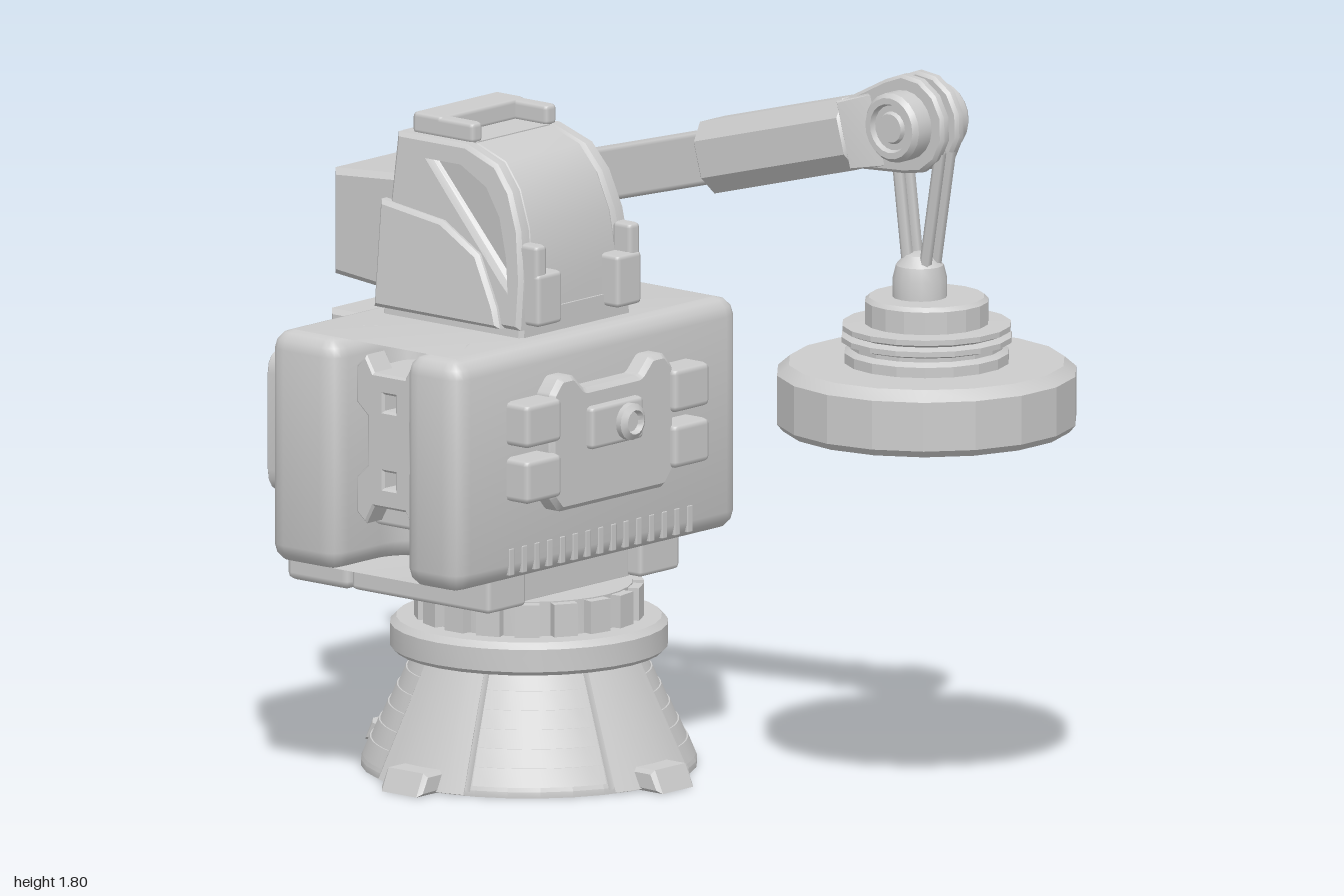
import * as THREE from 'three';
import { toCreasedNormals } from 'three/addons/utils/BufferGeometryUtils.js';
import { RoundedBoxGeometry } from 'three/addons/geometries/RoundedBoxGeometry.js';

const mat = new THREE.MeshStandardMaterial({ color: 0xcccccc, side: THREE.DoubleSide });
const V2 = (p) => p.map(([x, y]) => new THREE.Vector2(x, y));

function add(parent, name, geo, x = 0, y = 0, z = 0) {
  const m = new THREE.Mesh(geo, mat);
  m.name = name;
  m.position.set(x, y, z);
  parent.add(m);
  return m;
}

// box given by its limits, with slightly eased edges
function box(parent, name, x0, x1, y0, y1, z0, z1, r = 0.012) {
  const g = new RoundedBoxGeometry(x1 - x0, y1 - y0, z1 - z0, 1, r);
  return add(parent, name, g, (x0 + x1) / 2, (y0 + y1) / 2, (z0 + z1) / 2);
}

// outline with rounded corners
function roundShape(pts, r) {
  const v = V2(pts), n = v.length, s = new THREE.Shape();
  v.forEach((p, i) => {
    const step = (q) => p.clone().add(q.clone().sub(p).setLength(Math.min(r, q.distanceTo(p) / 2.1)));
    const a = step(v[(i + n - 1) % n]), b = step(v[(i + 1) % n]);
    if (i) s.lineTo(a.x, a.y); else s.moveTo(a.x, a.y);
    s.quadraticCurveTo(p.x, p.y, b.x, b.y);
  });
  s.closePath();
  return s;
}

// extrude along z from z0 to z1 with an inward bevel
function extrude(shape, z0, z1, bevel = 0.01, segs = 1, angle = 0.6) {
  const g = new THREE.ExtrudeGeometry(shape, {
    depth: z1 - z0 - 2 * bevel, bevelEnabled: bevel > 0, bevelThickness: bevel, bevelSize: bevel,
    bevelOffset: -bevel, bevelSegments: segs, curveSegments: 4,
  });
  return toCreasedNormals(g.translate(0, 0, z0 + bevel), angle);
}

// outline in [z, y], extruded along x
const sideways = (pts, x0, x1, bevel, r = 0.01) =>
  extrude(roundShape(pts.map(([z, y]) => [-z, y]), r), x0, x1, bevel).rotateY(Math.PI / 2);

function lathe(pts, segs = 32, a = 0, len = Math.PI * 2) {
  return toCreasedNormals(new THREE.LatheGeometry(V2(pts), segs, a, len), 0.5);
}

function buildBase() {
  const g = new THREE.Group();
  g.name = 'base';
  g.position.x = -0.39;
  add(g, 'hollowSkirt', lathe([[0.34, 0], [0.405, 0], [0.405, 0.015], [0.265, 0.29], [0.22, 0.29], [0.34, 0]]));
  add(g, 'skirtFlange', lathe([[0, 0.285], [0.325, 0.285], [0.335, 0.295], [0.335, 0.35], [0.32, 0.365], [0, 0.365]]));
  add(g, 'bearing', lathe([[0, 0.36], [0.25, 0.36], [0.25, 0.45], [0, 0.45]]));
  for (let i = 0; i < 18; i++) {
    const a = (i / 18) * Math.PI * 2;
    const t = add(g, 'bearingTooth', new THREE.BoxGeometry(0.06, 0.08, 0.05), Math.sin(a) * 0.25, 0.407, Math.cos(a) * 0.25);
    t.rotation.y = a;
  }
  // louvred panels on the diagonals, plain strips and feet on the axes
  const louvre = [];
  for (let i = 0; i < 6; i++) {
    const y = 0.025 + i * 0.043, r = 0.405 - y * 0.5;
    louvre.push([r + 0.008, y], [r - 0.01, y + 0.043]);
  }
  for (let i = 0; i < 4; i++) {
    const a = (i * Math.PI) / 2;
    add(g, 'louvrePanel', lathe(louvre, 8, a + 0.37, 0.83));
    add(g, 'plainStrip', lathe([[0.4, 0], [0.418, 0.005], [0.282, 0.288], [0.26, 0.288]], 6, a - 0.33, 0.66));
    for (const s of [-1, 1]) {
      const c = (y, r) => new THREE.Vector3(Math.sin(a + s * 0.34) * r, y, Math.cos(a + s * 0.34) * r);
      add(g, 'skirtRib', new THREE.TubeGeometry(new THREE.LineCurve3(c(0.01, 0.405), c(0.29, 0.27)), 1, 0.009, 4));
    }
    const foot = V2([[0.37, 0], [0.475, 0], [0.45, 0.055], [0.37, 0.055]]);
    add(g, 'foot', extrude(new THREE.Shape(foot), -0.065, 0.065)).rotation.y = a;
  }
  return g;
}

function buildBody() {
  const g = new THREE.Group();
  g.name = 'body';
  // supports below the housing
  box(g, 'neck', -0.6, -0.24, 0.44, 0.6, -0.2, 0.23);
  box(g, 'supportFront', -0.64, -0.2, 0.45, 0.6, 0.225, 0.365);
  box(g, 'supportBack', -0.64, -0.2, 0.45, 0.6, -0.335, -0.19);
  box(g, 'sideBeam', -0.85, -0.65, 0.445, 0.585, -0.335, 0.365, 0.02);
  box(g, 'beamLink', -0.7, -0.6, 0.47, 0.565, -0.3, 0.33);
  for (const z of [-0.1, 0.0]) box(g, 'beamClip', -0.86, -0.75, 0.46, 0.57, z, z + 0.04);
  // housing with a slot in the front, drawn in plan
  const plan = [[-0.67, 0.4], [-0.67, -0.635], [-0.455, -0.635], [-0.455, -0.42], [-0.41, -0.37],
    [-0.285, -0.37], [-0.24, -0.42], [-0.24, -0.635], [-0.065, -0.635], [-0.065, 0.4]];
  add(g, 'housing', extrude(roundShape(plan, 0.05), 0.56, 1.13, 0.045, 3, 0.7).rotateX(-Math.PI / 2));
  // latch plate in the slot
  const half = [[0.05, 1.05], [0.075, 1.09], [0.105, 1.06], [0.105, 0.97], [0.07, 0.94],
    [0.07, 0.82], [0.105, 0.79], [0.105, 0.7], [0.075, 0.675], [0.05, 0.72]];
  const latch = new THREE.Shape(V2([...half, ...half.map(([x, y]) => [-x, y]).reverse()]));
  for (const y of [0.98, 0.79]) latch.holes.push(new THREE.Path(V2([[-0.018, y - 0.02], [0.018, y - 0.02], [0.018, y + 0.02], [-0.018, y + 0.02]])));
  add(g, 'latchPlate', extrude(latch, 0.485, 0.56, 0.006), -0.348);
  box(g, 'latchBacking', -0.45, -0.246, 0.66, 1.05, 0.36, 0.5);
  // vent teeth along the lower edge
  for (let i = 0; i < 15; i++) {
    const z = -0.225 + i * 0.0465;
    box(g, 'ventTooth', -0.14, -0.063, 0.578, 0.645, z, z + 0.02, 0.003);
  }
  // access hatch with hinges and a lock
  const zc = 0.12;
  const hatch = [[0.225, 0.76], [0.225, 1.01], [0.19, 1.05], [0.14, 1.05], [0.1, 1.01]];
  const hatchPts = [...hatch, ...hatch.map(([z, y]) => [-z, y]).reverse(), [-0.19, 0.72], [0.19, 0.72]];
  add(g, 'hatch', sideways(hatchPts.map(([z, y]) => [z + zc, y]), -0.08, -0.015, 0.012));
  for (const z of [-0.215, 0.325]) for (const y of [0.763, 0.9]) box(g, 'hinge', -0.1, 0.003, y, y + 0.108, z, z + 0.13, 0.015);
  box(g, 'lockPlate', -0.05, 0.005, 0.86, 0.965, 0.03, 0.22);
  add(g, 'lock', lathe([[0.045, -0.03], [0.045, 0.02], [0.03, 0.03], [0.025, 0.015], [0, 0.015]], 16).rotateZ(-Math.PI / 2), 0, 0.912, 0.09);
  // wedge and framed panel on the far side
  const wedge = [[-0.65, 1.06], [-0.925, 1.06], [-0.925, 0.94], [-0.75, 0.74], [-0.65, 0.74]];
  add(g, 'sideWedge', extrude(new THREE.Shape(V2(wedge)), -0.33, 0.12, 0.012));
  box(g, 'wedgeTrim', -0.934, -0.9, 0.97, 1.035, -0.2, 0.09);
  box(g, 'sidePanel', -0.71, -0.64, 0.72, 1.03, 0.14, 0.52);
  const rect = (a, b, c, d, r) => roundShape([[a, b], [c, b], [c, d], [a, d]], r);
  const frame = rect(-0.545, 0.7, -0.13, 1.055, 0.06);
  frame.holes.push(rect(-0.51, 0.735, -0.165, 1.02, 0.04));
  add(g, 'panelFrame', extrude(frame, -0.755, -0.68, 0.008).rotateY(Math.PI / 2));
  for (const y of [0.8, 0.88, 0.96]) box(g, 'panelRung', -0.735, -0.69, y - 0.015, y + 0.015, 0.24, 0.46, 0.005);
  return g;
}

function buildCab() {
  const g = new THREE.Group();
  g.name = 'cab';
  g.position.z = 0.113;
  // every cab part narrows toward the roof
  const taper = (geo) => {
    const p = geo.attributes.position;
    for (let i = 0; i < p.count; i++) p.setZ(i, p.getZ(i) * (1 - 0.42 * (p.getY(i) - 1.15)));
    geo.computeVertexNormals();
    return toCreasedNormals(geo, 0.6);
  };
  const slab = (name, pts, z0, z1, hole) => {
    const s = new THREE.Shape(V2(pts));
    if (hole) s.holes.push(new THREE.Path(V2(hole)));
    add(g, name, taper(extrude(s, z0, z1)));
  };
  const outer = [[-0.34, 1.575], [-0.24, 1.54], [-0.19, 1.48], [-0.155, 1.39], [-0.138, 1.27], [-0.138, 1.15]];
  const hole = [[-0.48, 1.53], [-0.35, 1.535], [-0.26, 1.49], [-0.21, 1.42], [-0.18, 1.32], [-0.172, 1.22], [-0.21, 1.25]];
  const plate = [[-0.59, 1.15], [-0.19, 1.15], [-0.205, 1.2], [-0.27, 1.32], [-0.39, 1.385], [-0.59, 1.41]];
  for (const s of [-1, 1]) {
    const span = (a, b) => (s > 0 ? [a, b] : [-b, -a]);
    slab('cabSideFrame', [[-0.585, 1.15], [-0.56, 1.575], ...outer], ...span(0.165, 0.215), hole);
    slab('lowerSidePlate', plate, ...span(0.19, 0.232));
    const [a, b] = span(0.15, 0.19);
    box(g, 'frontPost', -0.16, -0.1, 1.16, 1.36, a, b);
    const [c, d] = span(0.1, 0.19);
    box(g, 'postFoot', -0.16, -0.095, 1.16, 1.29, c, d);
  }
  const inner = outer.map(([x, y]) => [x - 0.025, y - 0.02]).reverse();
  slab('windscreen', [...outer.map(([x, y]) => [x - 0.008, y]), ...inner], -0.17, 0.17);
  slab('cabBack', [[-0.585, 1.15], [-0.56, 1.57], [-0.47, 1.57], [-0.5, 1.15]], -0.17, 0.17);
  slab('cabRoof', [[-0.56, 1.535], [-0.56, 1.575], [-0.34, 1.575], [-0.34, 1.535]], -0.17, 0.17);
  slab('cabFloor', [[-0.585, 1.12], [-0.585, 1.19], [-0.14, 1.19], [-0.14, 1.12]], -0.2, 0.2);
  box(g, 'roofBar', -0.535, -0.44, 1.57, 1.625, -0.16, 0.15);
  for (const z of [-0.16, 0.11]) box(g, 'roofTab', -0.535, -0.34, 1.57, 1.622, z, z + 0.04);
  box(g, 'rearLamp', -0.65, -0.57, 1.49, 1.55, -0.07, 0.07);
  const pack = [[-0.785, 1.19], [-0.785, 1.45], [-0.57, 1.465], [-0.57, 1.17]];
  add(g, 'rearPack', extrude(new THREE.Shape(V2(pack)), -0.145, 0.157, 0.015));
  return g;
}

function buildCrane() {
  const g = new THREE.Group();
  g.name = 'crane';
  // pivot lugs on the housing
  const lug = [[-0.35, 1.1], [-0.36, 1.17], [-0.5, 1.4], [-0.7, 1.4], [-0.74, 1.26], [-0.66, 1.1]];
  for (const z of [-0.355, -0.215]) add(g, 'pivotLug', extrude(roundShape(lug, 0.1), z, z + 0.045));
  add(g, 'pivotPin', new THREE.CylinderGeometry(0.04, 0.04, 0.16, 16).rotateX(Math.PI / 2), -0.6, 1.33, -0.26);

  // boom, drawn along its own axis back from the hub
  const boom = new THREE.Group();
  boom.name = 'boom';
  boom.position.set(0.625, 1.68, -0.255);
  boom.rotation.z = 0.265;
  g.add(boom);
  box(boom, 'innerBoom', -1.665, -0.5, -0.065, 0.065, -0.04, 0.04);
  const oct = V2([[0.045, 0.088], [0.08, 0.045], [0.08, -0.045], [0.045, -0.088]]);
  const section = new THREE.Shape([...oct, ...oct.map((v) => v.clone().negate())]);
  add(boom, 'boomSleeve', extrude(section, -0.665, -0.17, 0.012).rotateY(Math.PI / 2));
  const neck = [[-0.18, -0.085], [-0.18, 0.085], [-0.08, 0.09], [-0.08, -0.09]];
  const neckGeo = extrude(new THREE.Shape(V2(neck)), -0.075, 0.075, 0.005);
  for (let i = 0, p = neckGeo.attributes.position; i < p.count; i++) if (p.getX(i) > -0.12) p.setZ(i, p.getZ(i) * 0.55);
  add(boom, 'boomNeck', toCreasedNormals(neckGeo, 0.6));
  for (const z of [-0.042, 0.012]) {
    const cheek = new THREE.Shape();
    cheek.moveTo(-0.17, -0.088);
    cheek.lineTo(-0.04, -0.115);
    cheek.absarc(0, 0, 0.122, -1.9, 1.9, false);
    cheek.lineTo(-0.17, 0.088);
    add(boom, 'headCheek', extrude(cheek, z, z + 0.032, 0.008));
  }
  for (const s of [1, -1]) {
    const hub = lathe([[0.085, 0], [0.085, 0.085], [0.075, 0.098], [0.06, 0.098], [0.055, 0.085], [0.04, 0.085], [0.035, 0.095], [0, 0.095]], 20);
    add(boom, 'hub', hub.rotateX((s * Math.PI) / 2), 0, 0, s * 0.005);
  }
  add(boom, 'sheave', new THREE.CylinderGeometry(0.09, 0.09, 0.04, 20).rotateX(Math.PI / 2));

  // hanging cables
  for (const dz of [-0.018, 0.018]) for (const [a, b] of [[0.575, 0.605], [0.715, 0.655]]) {
    const line = new THREE.LineCurve3(new THREE.Vector3(a, 1.62, -0.255 + dz), new THREE.Vector3(b, 1.31, -0.265 + dz));
    add(g, 'cable', new THREE.TubeGeometry(line, 1, 0.015, 6));
  }
  // lifting disc
  const disc = [[0, 0.965], [0.25, 0.965], [0.255, 0.945], [0.285, 0.945], [0.29, 0.965], [0.315, 0.965], [0.325, 0.928],
    [0.35, 0.928], [0.364, 0.945], [0.364, 1.065], [0.335, 1.09], [0.2, 1.09], [0.2, 1.115], [0.185, 1.125], [0.185, 1.135],
    [0.207, 1.142], [0.207, 1.155], [0.185, 1.162], [0.205, 1.17], [0.205, 1.183], [0.15, 1.185], [0.15, 1.24], [0.14, 1.25], [0, 1.25]];
  add(g, 'liftingDisc', toCreasedNormals(new THREE.LatheGeometry(V2(disc), 18), 0.3), 0.634, 0, -0.28);
  const dome = [[0.066, 1.24], [0.066, 1.295], [0.058, 1.328], [0.035, 1.353], [0, 1.362]];
  add(g, 'cableCap', lathe(dome, 16), 0.625, 0, -0.265);
  return g;
}

export function createModel() {
  const model = new THREE.Group();
  model.name = 'craneTurret';
  model.add(buildBase(), buildBody(), buildCab(), buildCrane());
  return model;
}
